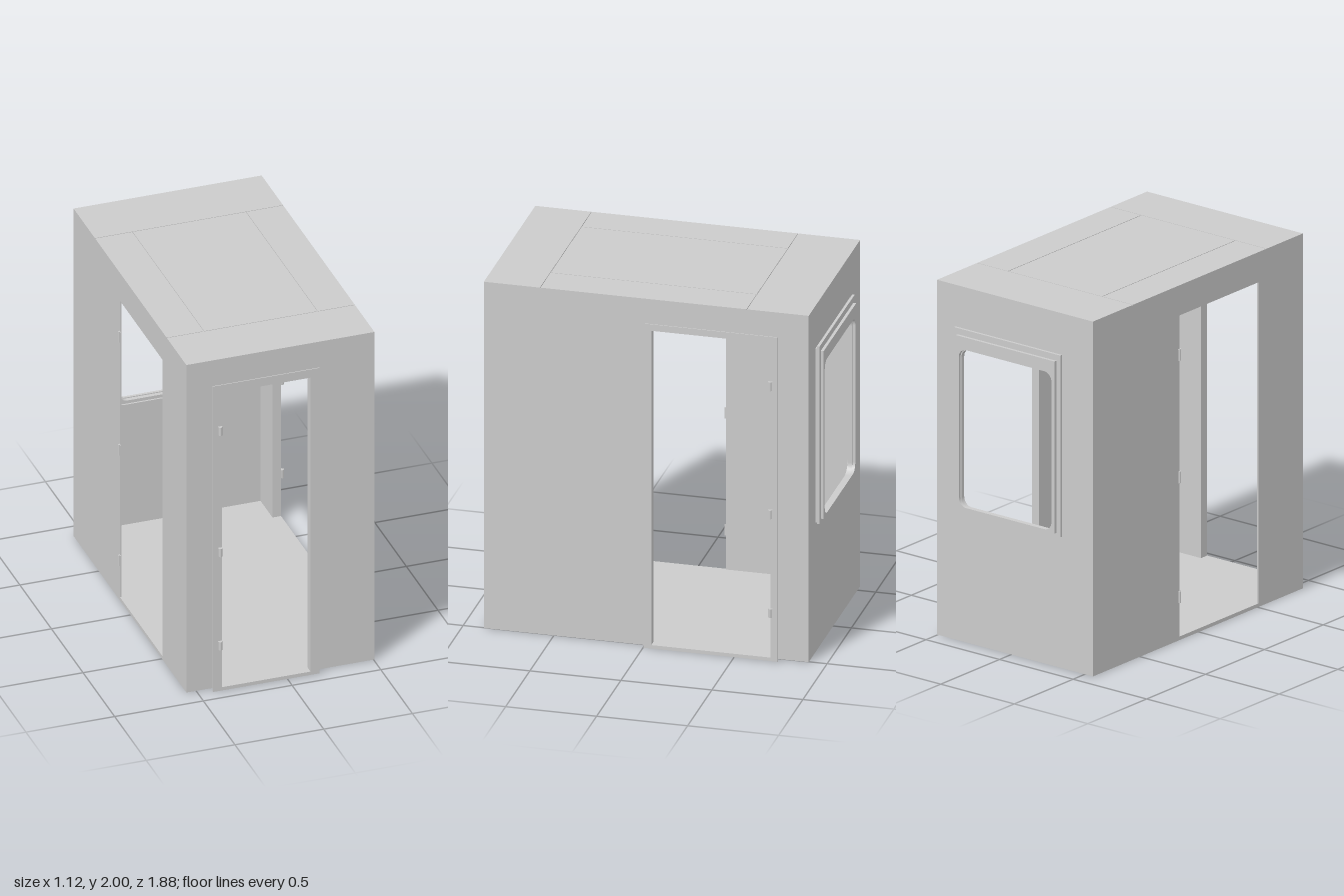
import * as THREE from 'three';

const material = new THREE.MeshStandardMaterial({ color: 0xcccccc, side: THREE.DoubleSide });
const X0 = -0.555, X1 = 0.505, Z0 = -0.9, Z1 = 0.885, T = 0.01;

function mesh(name, geometry, parent) {
  const m = new THREE.Mesh(geometry, material);
  m.name = name;
  parent.add(m);
  return m;
}

// Box given by its minimum and maximum corners
function box(name, parent, x0, x1, y0, y1, z0, z1) {
  const m = mesh(name, new THREE.BoxGeometry(x1 - x0, y1 - y0, z1 - z0), parent);
  m.position.set((x0 + x1) / 2, (y0 + y1) / 2, (z0 + z1) / 2);
  return m;
}

// Rectangle with optional rounded corners, drawn into a Shape or Path
function rect(path, [x0, x1, y0, y1], r = 0) {
  if (r === 0) {
    path.moveTo(x0, y0).lineTo(x1, y0).lineTo(x1, y1).lineTo(x0, y1).closePath();
    return path;
  }
  path.moveTo(x0 + r, y0).lineTo(x1 - r, y0);
  path.absarc(x1 - r, y0 + r, r, -Math.PI / 2, 0);
  path.lineTo(x1, y1 - r).absarc(x1 - r, y1 - r, r, 0, Math.PI / 2);
  path.lineTo(x0 + r, y1).absarc(x0 + r, y1 - r, r, Math.PI / 2, Math.PI);
  path.lineTo(x0, y0 + r).absarc(x0 + r, y0 + r, r, Math.PI, Math.PI * 1.5);
  return path;
}

// Flat panel with one optional opening, extruded along z
function panel(outer, hole, depth, r = 0, outerR = 0) {
  const shape = rect(new THREE.Shape(), outer, outerR);
  if (hole) shape.holes.push(rect(new THREE.Path(), hole, r));
  return new THREE.ExtrudeGeometry(shape, { depth, bevelEnabled: false, curveSegments: 8 });
}

// Hinge in a local frame: leaf against the surface, knuckle standing out along +z
function hinge(parent, y, h, reach) {
  const g = new THREE.Group();
  g.name = 'hinge';
  box('hingeLeaf', g, -0.012, 0.012, -h / 2, h / 2, 0, reach * 0.4);
  const pin = mesh('hingeKnuckle', new THREE.CylinderGeometry(reach / 2, reach / 2, h, 10), g);
  pin.position.z = reach / 2;
  g.position.y = y;
  parent.add(g);
  return g;
}

// Door frame: sleeve standing out of the wall with a thin outer flange, built facing +z
function doorFrame(name, opening, flange, sleeve, depth) {
  const g = new THREE.Group();
  g.name = name;
  const [x0, x1, y0, y1] = opening;
  const [s0, s1, sTop] = sleeve;
  box('leftSleeve', g, s0, x0, 0, sTop, 0, depth);
  box('rightSleeve', g, x1, s1, 0, sTop, 0, depth);
  box('headSleeve', g, x0, x1, y1, sTop, 0, depth);
  box('threshold', g, x0, x1, 0, y0, 0, depth);
  const [f0, f1, fTop] = flange;
  box('leftFlange', g, f0, x0, 0, fTop, depth - 0.005, depth);
  box('rightFlange', g, x1, f1, 0, fTop, depth - 0.005, depth);
  box('headFlange', g, x0, x1, y1, fTop, depth - 0.005, depth);
  return g;
}

export function createModel() {
  const root = new THREE.Group();
  root.name = 'cabin';

  // Floor and roof, the roof covered by separate panels with fine seams
  box('floor', root, X0, X1, 0, 0.02, Z0, Z1);
  box('roofBase', root, X0, X1, 1.985, 1.995, Z0, Z1);
  const s = 0.002;
  const roofPanels = [
    [X0, X1, Z0, -0.56 - s], [X0, X1, 0.575 + s, Z1],
    [X0, -0.345 - s, -0.56 + s, 0.575 - s],
    [-0.345 + s, 0.295 - s, -0.56 + s, 0.575 - s],
    [0.295 + s, X1, -0.56 + s, 0.575 - s],
  ];
  for (const [x0, x1, z0, z1] of roofPanels) box('roofPanel', root, x0, x1, 1.995, 2, z0, z1);

  // Front wall with doorway
  const frontDoor = [-0.37, 0.13, 0.02, 1.815];
  mesh('frontWall', panel([X0, X1, 0, 1.99], frontDoor, T), root).position.z = Z1 - T;

  // Back wall with rounded window opening
  mesh('backWall', panel([X0, X1, 0, 1.99], [-0.335, 0.355, 0.752, 1.715], T, 0.07), root).position.z = Z0;

  // Side walls, drawn with horizontal = -z and turned into place
  const sideDoor = [0.045, 0.7, 0.02, 1.835];
  const sides = [
    ['rightDoorWall', sideDoor, X1 - T],
    ['openSideWall', [-0.505, 0.166, 0.02, 1.83], X0],
  ];
  for (const [name, hole, x] of sides) {
    const wall = mesh(name, panel([-Z1, -Z0, 0, 1.99], hole, T).rotateY(Math.PI / 2), root);
    wall.position.x = x;
  }

  // Window frame: three stepped rings on the back wall
  const rings = [
    [[-0.345, 0.365, 0.75, 1.755], [-0.3, 0.32, 0.77, 1.66], 0.01, 0.05, -0.91],
    [[-0.352, 0.372, 0.745, 1.77], [-0.3, 0.32, 0.77, 1.66], 0.014, 0.05, -0.924],
    [[-0.325, 0.345, 0.765, 1.735], [-0.305, 0.325, 0.775, 1.665], 0.016, 0.05, -0.94],
  ];
  for (const [outer, hole, depth, r, z] of rings) {
    mesh('windowFrameRing', panel(outer, hole, depth, r), root).position.z = z;
  }

  // Front door frame with hinges and latch plates
  const front = doorFrame('frontDoorFrame', frontDoor, [-0.42, 0.18, 1.865], [-0.385, 0.142, 1.825], 0.042);
  front.position.z = Z1;
  for (const y of [1.59, 0.85, 0.28]) {
    hinge(front, y, 0.05, 0.018).position.set(-0.38, y, 0.042);
    box('hingeBracket', front, -0.387, -0.37, y - 0.08, y, 0.0, 0.04);
  }
  for (const y of [0.945, 0.865]) box('latchPlate', front, 0.13, 0.15, y - 0.022, y + 0.022, 0.015, 0.034);
  root.add(front);

  // Side door frame with hinges and a latch plate
  const side = doorFrame('sideDoorFrame', sideDoor, [0.003, 0.74, 1.872], [0.035, 0.73, 1.842], 0.038);
  side.rotation.y = Math.PI / 2;
  side.position.x = X1;
  for (const y of [1.59, 0.85, 0.28]) hinge(side, y, 0.05, 0.018).position.set(0.7, y, 0.037);
  box('latchPlate', side, 0.028, 0.045, 0.9, 0.93, 0.01, 0.03);
  root.add(side);

  // Hinges at the edge of the open side
  for (const y of [1.61, 0.92, 0.245]) {
    const h = hinge(root, y, 0.065, 0.012);
    h.rotation.y = -Math.PI / 2;
    h.position.set(X0 + 0.002, y, -0.166);
  }

  return root;
}
